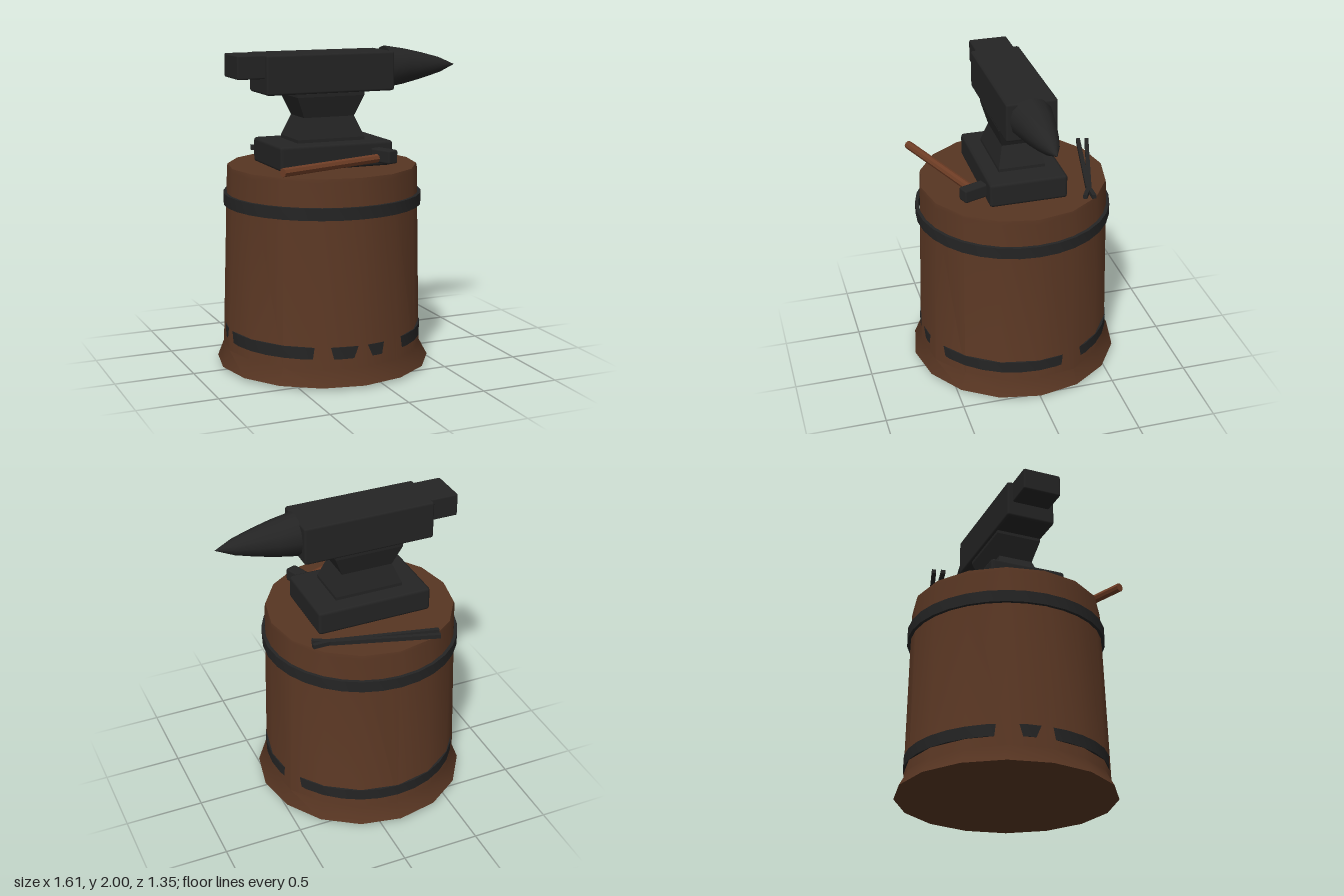
import * as THREE from 'three';
import { toCreasedNormals } from 'three/addons/utils/BufferGeometryUtils.js';
import { RoundedBoxGeometry } from 'three/addons/geometries/RoundedBoxGeometry.js';

const iron = new THREE.MeshStandardMaterial({ color: 0x242424 });
iron.name = 'blackIron';
const wood = new THREE.MeshStandardMaterial({ color: 0x573522 });
wood.name = 'stumpWood';
const handleWood = new THREE.MeshStandardMaterial({ color: 0x6e3d25 });
handleWood.name = 'handleWood';

const STUMP_X = -0.13;

function part(parent, name, geometry, material, x = 0, y = 0, z = 0) {
  const mesh = new THREE.Mesh(geometry, material);
  mesh.name = name;
  mesh.position.set(x, y, z);
  parent.add(mesh);
  return mesh;
}

const lathe = (pairs, sides) =>
  new THREE.LatheGeometry(pairs.map(([r, y]) => new THREE.Vector2(r, y)), sides);

// Chamfered box given by its minimum and maximum corners
function block(parent, name, [x0, y0, z0], [x1, y1, z1], bevel = 0.015) {
  const g = new RoundedBoxGeometry(x1 - x0, y1 - y0, z1 - z0, 1, bevel);
  return part(parent, name, g, iron, (x0 + x1) / 2, (y0 + y1) / 2, (z0 + z1) / 2);
}

// Sixteen-sided log with a flared, slightly uneven foot
function stumpGeometry() {
  const g = lathe([[0, 0], [0.677, 0.018], [0.622, 0.12], [0.599, 1.262], [0.594, 1.274], [0, 1.274]], 16);
  const bulge = { 0: 0.008, 1: 0.018, 15: 0.012, 5: 0.018, 11: 0.015, 12: 0.01 };
  const p = g.attributes.position;
  for (let i = 0; i < p.count; i++) {
    const x = p.getX(i), z = p.getZ(i), y = p.getY(i), r = Math.hypot(x, z);
    if (r < 0.01) continue;
    const k = (Math.round(Math.atan2(x, z) / (Math.PI / 8)) + 16) % 16;
    if (y > 0.05 && y < 0.5) {
      const s = 1 + (bulge[k] || 0) / r;
      p.setX(i, x * s);
      p.setZ(i, z * s);
    } else if (y > 1.2 && y < 1.27) {
      p.setY(i, y - 0.01 * (1 + Math.sin(k * 2.1)));
    }
  }
  return toCreasedNormals(g, 0.6);
}

// Box pinched at its middle height
function waistGeometry() {
  const g = new THREE.BoxGeometry(0.445, 0.3, 0.295, 1, 4, 1);
  const p = g.attributes.position;
  const heights = [-0.15, -0.13, 0, 0.13, 0.15];
  for (let i = 0; i < p.count; i++) {
    const row = Math.round((p.getY(i) + 0.15) / 0.075);
    p.setY(i, heights[row]);
    if (row === 2) {
      p.setX(i, p.getX(i) * 0.75);
      p.setZ(i, p.getZ(i) * 0.76);
    }
  }
  return toCreasedNormals(g, 0.1);
}

// Square bar laid between two points
function bar(parent, name, a, b, width) {
  const from = new THREE.Vector3(...a), to = new THREE.Vector3(...b);
  const m = part(parent, name, new THREE.BoxGeometry(width, width, from.distanceTo(to)), iron);
  m.position.copy(from).add(to).multiplyScalar(0.5);
  m.lookAt(to);
}

export function createModel() {
  const model = new THREE.Group();
  model.name = 'anvilOnStump';

  // Stump and its two iron hoops
  part(model, 'stump', stumpGeometry(), wood, STUMP_X);
  const hoop = toCreasedNormals(
    lathe([[0.603, -0.037], [0.624, -0.037], [0.624, 0.037], [0.603, 0.037], [0.603, -0.037]], 32), 0.6);
  part(model, 'upperHoop', hoop, iron, STUMP_X, 1.067);
  part(model, 'lowerHoop', hoop, iron, STUMP_X, 0.217);

  // Anvil
  const anvil = new THREE.Group();
  anvil.name = 'anvil';
  model.add(anvil);
  block(anvil, 'foot', [-0.5, 1.274, -0.25], [0.25, 1.43, 0.245], 0.02);
  part(anvil, 'waist', waistGeometry(), iron, -0.127, 1.58, 0);
  block(anvil, 'body', [-0.55, 1.73, -0.162], [0.3, 1.975, 0.157]);
  block(anvil, 'heel', [-0.725, 1.83, -0.127], [-0.52, 1.975, 0.122], 0.01);
  const horn = lathe([[0, 0], [0.135, 0], [0.112, 0.14], [0.085, 0.26], [0.05, 0.39], [0, 0.505]], 12);
  horn.rotateZ(-Math.PI / 2);
  part(anvil, 'horn', toCreasedNormals(horn, 0.7), iron, 0.295, 1.865, 0);

  // Hammer lying in front
  const hammer = new THREE.Group();
  hammer.name = 'hammer';
  hammer.position.set(0.147, 1.34, 0.315);
  hammer.rotation.y = 0.345;
  model.add(hammer);
  const shaft = new THREE.CylinderGeometry(0.027, 0.027, 0.8, 8);
  shaft.rotateZ(Math.PI / 2);
  part(hammer, 'hammerHandle', toCreasedNormals(shaft, 0.6), handleWood, -0.4, -0.005, -0.015);
  part(hammer, 'hammerHead', new RoundedBoxGeometry(0.078, 0.085, 0.165, 1, 0.012), iron, 0, 0.01, 0.008);

  // Tongs lying behind: two crossing arms with bent jaws
  const tongs = new THREE.Group();
  tongs.name = 'tongs';
  model.add(tongs);
  const y = 1.312;
  bar(tongs, 'tongArm', [-0.4, y, -0.587], [0.23, y, -0.395], 0.026);
  bar(tongs, 'tongJaw', [0.22, y, -0.398], [0.335, y, -0.333], 0.026);
  bar(tongs, 'tongArm', [-0.415, y, -0.533], [0.23, y, -0.385], 0.026);
  bar(tongs, 'tongJaw', [0.22, y, -0.388], [0.348, y, -0.388], 0.026);

  return model;
}
